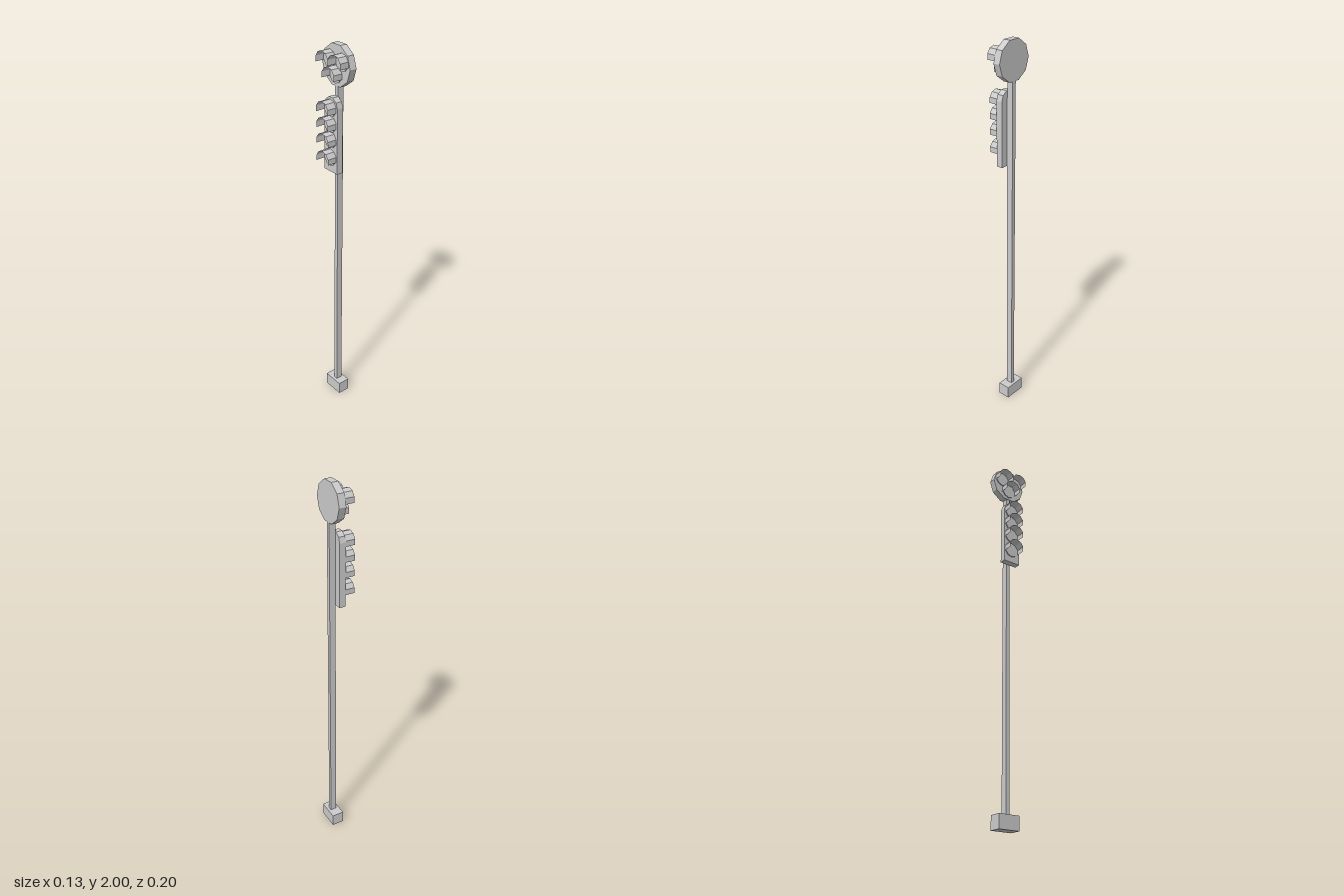
import * as THREE from 'three';

export function createModel() {
  const model = new THREE.Group();
  model.name = 'railwaySignal';
  const solid = new THREE.MeshStandardMaterial({ color: 0xcccccc, flatShading: true });
  const thin = new THREE.MeshStandardMaterial({ color: 0xcccccc, flatShading: true, side: THREE.DoubleSide });
  const deg = Math.PI / 180;

  function add(name, geometry, x, y, z, material = solid) {
    const mesh = new THREE.Mesh(geometry, material);
    mesh.name = name;
    mesh.position.set(x, y, z);
    model.add(mesh);
  }

  // Ten-sided cylinder lying along x, between x0 and x1
  function drum(name, radius, x0, x1, y, z, turn = 0) {
    const g = new THREE.CylinderGeometry(radius, radius, x1 - x0, 10, 1, false, turn).rotateZ(Math.PI / 2);
    add(name, g, (x0 + x1) / 2, y, z);
  }

  // Lens with an open-bottomed hood, both reaching out towards -x
  function lamp(name, faceX, tipX, y, z) {
    drum(name + 'Lens', 0.04, faceX - 0.005, faceX + 0.002, y, z, 18 * deg);
    const hood = new THREE.CylinderGeometry(0.045, 0.045, faceX - tipX, 6, 1, true, -18 * deg, 216 * deg);
    add(name + 'Hood', hood.rotateZ(Math.PI / 2), (faceX + tipX) / 2, y, z, thin);
  }

  // Base and post
  add('base', new THREE.BoxGeometry(0.065, 0.07, 0.115), 0.0325, 0.035, -0.003);
  add('post', new THREE.BoxGeometry(0.033, 1.78, 0.021), 0.0335, 0.95, 0);

  // Round head with three lamps in a triangle
  drum('roundHead', 0.1, 0.014, 0.05, 1.905, 0);
  for (const [y, z] of [[1.925, -0.044], [1.925, 0.044], [1.862, 0]]) lamp('headLamp', 0.014, -0.034, y, z);

  // Tall panel with an arched top
  const outline = new THREE.Shape();
  outline.moveTo(-0.048, 1.39);
  outline.lineTo(0.048, 1.39);
  for (let i = 0; i <= 5; i++) {
    outline.lineTo(0.048 * Math.cos(i * 36 * deg), 1.717 + 0.048 * Math.sin(i * 36 * deg));
  }
  const panel = new THREE.ExtrudeGeometry(outline, { depth: 0.033, bevelEnabled: false }).rotateY(Math.PI / 2);
  add('panel', panel, -0.016, 0, 0);

  // Four stacked panel lamps
  for (const y of [1.708, 1.63, 1.552, 1.463]) lamp('panelLamp', -0.016, -0.066, y, -0.003);

  return model;
}
